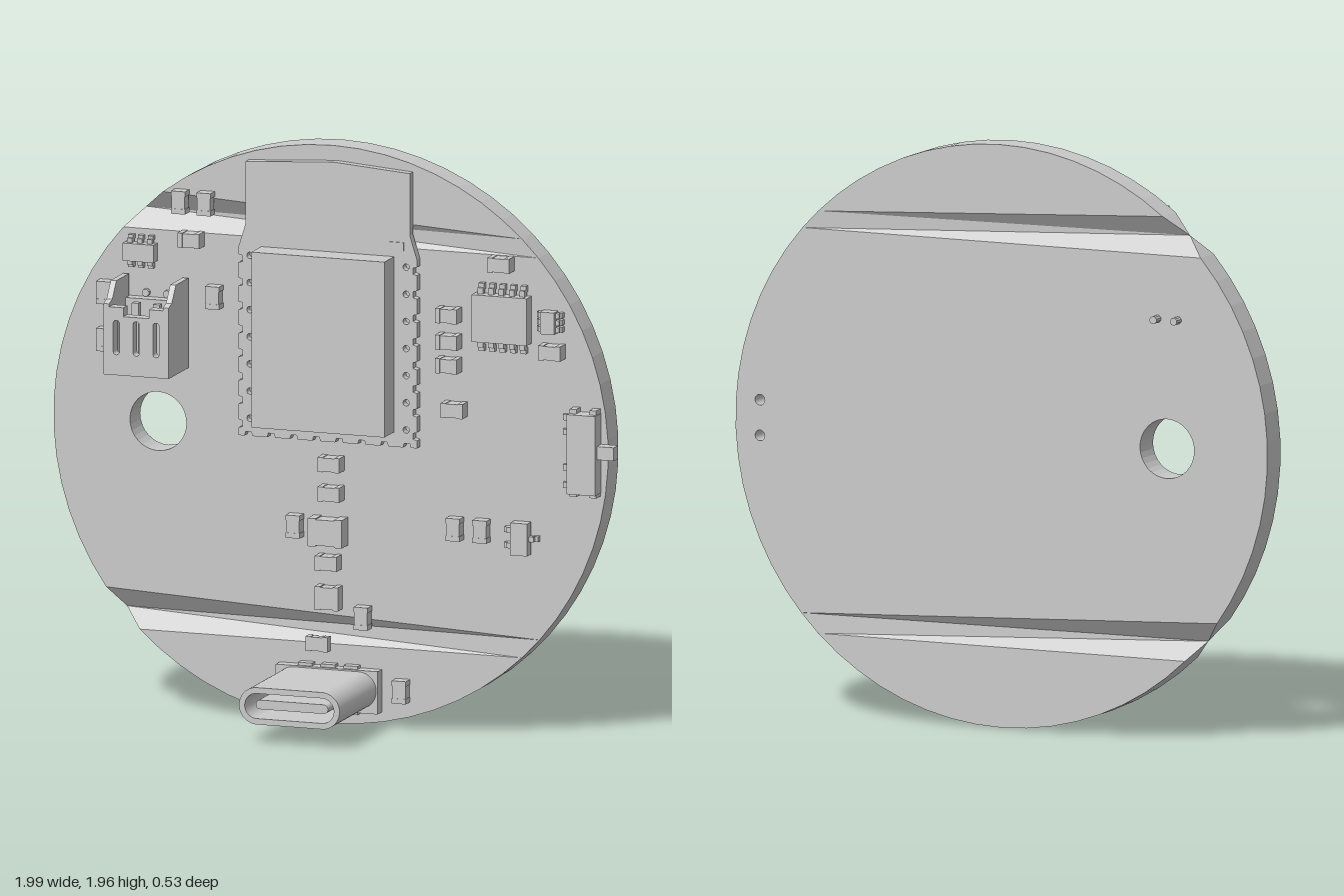
import * as THREE from 'three';

const BACK = -0.23, FRONT = -0.13, CX = -0.02, CY = 0.98, R = 0.98;

export function createModel() {
  const model = new THREE.Group();
  const mat = new THREE.MeshStandardMaterial({ color: 0xcccccc, flatShading: true, side: THREE.DoubleSide });

  const add = (name, geo, parent = model) => {
    const mesh = new THREE.Mesh(geo, mat);
    mesh.name = name;
    parent.add(mesh);
    return mesh;
  };
  const group = (name) => {
    const g = new THREE.Group();
    g.name = name;
    model.add(g);
    return g;
  };
  // box from min / max corners
  const box = (name, x0, x1, y0, y1, z0, z1, parent) => {
    const g = new THREE.BoxGeometry(x1 - x0, y1 - y0, z1 - z0);
    g.translate((x0 + x1) / 2, (y0 + y1) / 2, (z0 + z1) / 2);
    return add(name, g, parent);
  };
  const slab = (name, shape, z0, z1, parent) => {
    const g = new THREE.ExtrudeGeometry(shape, { depth: z1 - z0, bevelEnabled: false, curveSegments: 16 });
    g.translate(0, 0, z0);
    return add(name, g, parent);
  };
  const hole = (shape, x, y, r) => shape.holes.push(new THREE.Path().absarc(x, y, r, 0, Math.PI * 2, true));
  // horizontal stadium outline
  const stadium = (Type, x0, x1, y0, y1) => {
    const r = (y1 - y0) / 2, y = (y0 + y1) / 2;
    const p = new Type();
    p.absarc(x1 - r, y, r, -Math.PI / 2, Math.PI / 2, false);
    p.absarc(x0 + r, y, r, Math.PI / 2, Math.PI * 1.5, false);
    p.closePath();
    return p;
  };

  // ---- round circuit board in three pieces, separated by tapering V grooves
  const right = (y) => Math.asin((y - CY) / R);
  const left = (y) => Math.PI - right(y);
  const rim = (a) => new THREE.Vector2(CX + R * Math.cos(a), CY + R * Math.sin(a));
  const arc = (a, b) => {
    const n = Math.max(4, Math.ceil(Math.abs(b - a) / 0.1));
    return Array.from({ length: n + 1 }, (_, i) => rim(a + (b - a) * i / n));
  };
  const grooves = [
    { a: 1.76, m: 1.695, b: 1.63, r1: 1.69, r2: 1.63 },
    { a: 0.405, m: 0.335, b: 0.27, r1: 0.335, r2: 0.27 },
  ];
  const [up, low] = grooves;
  const board = group('circuitBoard');
  slab('boardTop', new THREE.Shape(arc(right(up.r1), left(up.a))), BACK, FRONT, board);
  slab('boardBottom', new THREE.Shape(arc(left(low.b), right(low.r2) + Math.PI * 2)), BACK, FRONT, board);
  const middle = new THREE.Shape([...arc(right(low.r1), right(up.r2)), ...arc(left(up.b), left(low.a))]);
  hole(middle, -0.63, 0.98, 0.1);
  for (const y of [0.92, 1.04]) hole(middle, 0.87, y, 0.018);
  slab('boardMiddle', middle, BACK, FRONT, board);

  for (const g of grooves) {
    const v = (ang, z) => { const p = rim(ang); return [p.x, p.y, z]; };
    const M = v(left(g.m), (BACK + FRONT) / 2);
    const pts = (z) => [v(left(g.a), z), v(left(g.b), z), v(right(g.r1), z), v(right(g.r2), z)];
    const [A, B, P, Q] = pts(FRONT), [a, b, p, q] = pts(BACK);
    const tris = [A, M, P, M, Q, P, M, B, Q, a, p, M, M, p, q, M, q, b, // both faces
      P, Q, q, P, q, p, A, a, M, B, M, b];                             // rim ends
    const geo = new THREE.BufferGeometry();
    geo.setAttribute('position', new THREE.Float32BufferAttribute(tris.flat(), 3));
    geo.computeVertexNormals();
    add('scoreGroove', geo, board);
  }

  // ---- wireless module: castellated carrier and metal can
  const wireless = group('wirelessModule');
  const edge = [];
  const notchRows = 8;
  for (let i = 0; i < 8; i++) { // bottom edge
    const x = -0.3 + i * 0.08;
    edge.push([x - 0.014, 0.96], [x - 0.01, 0.974], [x + 0.01, 0.974], [x + 0.014, 0.96]);
  }
  edge.push([0.295, 0.96]);
  const sideNotch = (x, d, y, s) =>
    edge.push([x, y - 0.014 * s], [x + d, y - 0.01 * s], [x + d, y + 0.01 * s], [x, y + 0.014 * s]);
  for (let i = 0; i < notchRows; i++) sideNotch(0.295, -0.014, 1.0 + i * 0.08, 1);
  edge.push([0.295, 1.6], [0.27, 1.68], [0.27, 1.89], [0, 1.91], [-0.31, 1.89], [-0.31, 1.68], [-0.335, 1.6]);
  for (let i = notchRows - 1; i >= 0; i--) sideNotch(-0.335, 0.014, 1.0 + i * 0.08, -1);
  edge.push([-0.335, 0.96]);
  const carrier = new THREE.Shape(edge.map(([x, y]) => new THREE.Vector2(x, y)));
  for (let i = 0; i < 7; i++) for (const x of [-0.295, 0.257]) hole(carrier, x, 1.02 + i * 0.092, 0.011);
  slab('moduleCarrier', carrier, FRONT, -0.1, wireless);
  box('shieldCan', -0.255, 0.215, 1.01, 1.605, -0.1, -0.005, wireless);
  box('antennaPad', 0.19, 0.25, 1.628, 1.655, -0.1, -0.096, wireless);

  // ---- charging socket pointing forward
  const usb = group('chargingSocket');
  box('socketBase', -0.2, 0.16, 0.05, 0.195, FRONT, -0.09, usb);
  for (const x of [-0.1, -0.02, 0.06]) box('socketTab', x - 0.025, x + 0.025, 0.04, 0.205, FRONT, -0.1, usb);
  const shell = stadium(THREE.Shape, -0.2, 0.155, 0.065, 0.19);
  shell.holes.push(stadium(THREE.Path, -0.18, 0.135, 0.085, 0.17));
  slab('socketShell', shell, -0.09, 0.265, usb);
  slab('socketTongue', stadium(THREE.Shape, -0.15, 0.105, 0.112, 0.143), -0.09, 0.24, usb);

  // ---- battery connector: open-topped housing with slotted front wall
  const conn = group('batteryConnector');
  const cheek = new THREE.Shape([[-0.12, 1.17], [0.07, 1.17], [0.07, 1.41], [0.04, 1.42], [0, 1.475], [-0.12, 1.475]]
    .map(([z, y]) => new THREE.Vector2(-z, y)));
  for (const x of [-0.75, -0.54]) {
    const g = new THREE.ExtrudeGeometry(cheek, { depth: 0.02, bevelEnabled: false });
    g.rotateY(Math.PI / 2);
    g.translate(x, 0, 0);
    add('connectorCheek', g, conn);
  }
  box('connectorFloor', -0.74, -0.53, 1.17, 1.22, -0.12, 0.06, conn);
  box('connectorBack', -0.74, -0.53, 1.17, 1.4, FRONT, -0.09, conn);
  const wall = new THREE.Shape([[-0.74, 1.17], [-0.53, 1.17], [-0.53, 1.4], [-0.59, 1.4], [-0.59, 1.37], [-0.68, 1.37],
    [-0.68, 1.4], [-0.74, 1.4]].map(([x, y]) => new THREE.Vector2(x, y)));
  for (const x of [-0.705, -0.635, -0.565]) {
    const slot = new THREE.Path();
    slot.absarc(x, 1.345, 0.011, 0, Math.PI, false);
    slot.absarc(x, 1.25, 0.011, Math.PI, Math.PI * 2, false);
    slot.closePath();
    wall.holes.push(slot);
  }
  slab('connectorFrontWall', wall, 0.03, 0.07, conn);
  for (const x of [-0.67, -0.595]) {
    box('contact', x - 0.012, x + 0.012, 1.2, 1.4, -0.04, -0.015, conn);
    const pin = new THREE.CylinderGeometry(0.013, 0.013, 0.15, 10);
    pin.rotateX(Math.PI / 2);
    pin.translate(x, 1.415, -0.19);
    add('connectorPin', pin, conn);
  }

  // ---- slide switch on the rim
  const sw = group('slideSwitch');
  box('switchBody', 0.835, 0.935, 0.85, 1.12, FRONT, -0.07, sw);
  box('switchLever', 0.935, 0.995, 0.97, 1.015, FRONT, -0.088, sw);
  for (const y of [0.87, 0.93, 1.05, 1.1]) box('switchLeg', 0.805, 0.84, y - 0.01, y + 0.01, FRONT, -0.115, sw);
  for (const x of [0.85, 0.92]) box('switchCorner', x - 0.012, x + 0.012, 0.838, 1.135, FRONT, -0.09, sw);

  // ---- chips with gull legs: [x, y, w, h, top, legs per side, leg reach, legs on left/right?, legs on far side]
  const chips = [
    [0.593, 1.42, 0.195, 0.16, -0.08, 5, 0.035, false, 5],
    [-0.685, 1.555, 0.11, 0.06, -0.085, 3, 0.025, false, 3],
    [0.76, 1.42, 0.05, 0.075, -0.085, 3, 0.02, true, 3],
    [0.66, 0.68, 0.06, 0.11, -0.085, 2, 0.03, true, 1],
  ];
  for (const [x, y, w, h, top, n, reach, sideways, nFar] of chips) {
    const chip = group('chip');
    chip.position.set(x, y, 0);
    box('chipBody', -w / 2, w / 2, -h / 2, h / 2, FRONT + 0.005, top, chip);
    const span = sideways ? h : w, half = (sideways ? w : h) / 2;
    for (const [dir, count] of [[-1, n], [1, nFar]]) for (let i = 0; i < count; i++) {
      const t = ((i + 0.5) / count - 0.5) * span * 0.95, t0 = t - 0.009, t1 = t + 0.009;
      const lo = dir < 0 ? -half - reach : half, hi = dir < 0 ? -half : half + reach;
      const foot = dir < 0 ? [lo, lo + reach * 0.6] : [hi - reach * 0.6, hi];
      const leg = (a, b, z0, z1) => sideways ? box('chipLeg', a, b, t0, t1, z0, z1, chip)
        : box('chipLeg', t0, t1, a, b, z0, z1, chip);
      leg(...foot, FRONT, -0.11);
      leg(lo + (dir > 0 ? 0 : reach * 0.4), hi - (dir > 0 ? reach * 0.4 : 0), -0.12, -0.1);
    }
  }

  // ---- small parts: end caps with a slightly slimmer middle
  const passive = (x, y, w, h, t) => {
    const g = group('smallPart'), wide = w > h;
    g.position.set(x, y, FRONT);
    const W = w / 2, H = h / 2, k = 0.55, s = 0.92;
    for (const d of [-1, 1]) {
      const lo = d < 0 ? -1 : k, hi = d < 0 ? -k : 1;
      if (wide) box('endCap', lo * W, hi * W, -H, H, 0, t, g);
      else box('endCap', -W, W, lo * H, hi * H, 0, t, g);
    }
    if (wide) box('partBody', -k * W, k * W, -s * H, s * H, 0, t * 0.97, g);
    else box('partBody', -s * W, s * W, -k * H, k * H, 0, t * 0.97, g);
  };
  const lying = [[-0.505, 1.61], [0.405, 1.42], [0.405, 1.33], [0.405, 1.25], [0.425, 1.1], [0.59, 1.605], [0.77, 1.32],
    [-0.01, 0.885], [-0.01, 0.785], [-0.02, 0.55]];
  const standing = [[-0.545, 1.735], [-0.455, 1.735], [-0.425, 1.42], [-0.81, 1.41], [-0.81, 1.25],
    [-0.14, 0.665], [0.425, 0.695], [0.52, 0.695], [0.1, 0.37], [0.235, 0.13]];
  for (const [x, y] of lying) passive(x, y, 0.077, 0.05, 0.052);
  for (const [x, y] of standing) passive(x, y, 0.05, 0.077, 0.042);
  passive(-0.06, 0.27, 0.077, 0.05, 0.03);
  passive(-0.02, 0.655, 0.12, 0.095, 0.06);
  passive(-0.02, 0.43, 0.082, 0.08, 0.045);

  return model;
}
